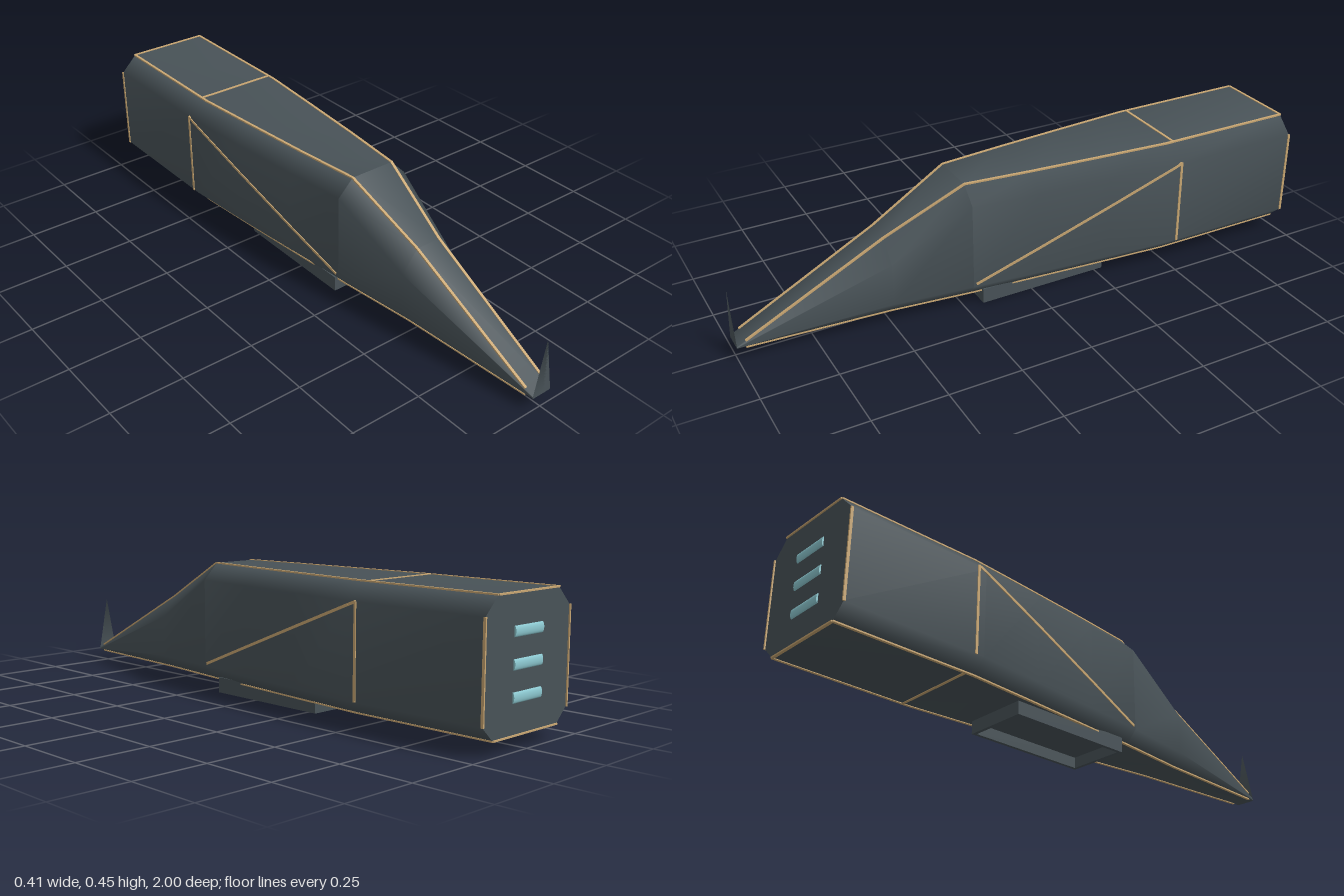
import * as THREE from 'three';

const hull = new THREE.MeshStandardMaterial({ color: 0x485257, side: THREE.DoubleSide });
hull.name = 'dark slate hull';
const gold = new THREE.MeshStandardMaterial({ color: 0xc8a672 });
gold.name = 'gold trim';
const teal = new THREE.MeshStandardMaterial({ color: 0x8cc8d0 });
teal.name = 'pale teal glow';

const MID = 0.245;
const REAR = -0.994;
// Stations: z, top half-width, top y, side half-width, shoulder y, lower y, bottom half-width
const stations = [
  [REAR, 0.145, 0.446, 0.203, 0.39, 0.09, 0.155],
  [-0.5, 0.145, 0.446, 0.203, 0.39, 0.09, 0.155],
  [-0.26, 0.126, 0.446, 0.184, 0.39, 0.09, 0.137],
  [0, 0.104, 0.446, 0.16, 0.39, 0.09, 0.115],
  [0.23, 0.08, 0.446, 0.136, 0.39, 0.09, 0.095],
  [0.5, 0.045, 0.307, 0.102, 0.235, 0.088, 0.065],
  [1, 0.036, 0.053, 0.036, 0.05, 0.047, 0.034],
];
const BOTTOM = 0.045;

// Eight-sided cross-section, counter-clockwise seen from the front
function ring([z, t, top, w, shoulder, low, b]) {
  return [[t, top], [-t, top], [-w, shoulder], [-w, low], [-b, BOTTOM], [b, BOTTOM], [w, low], [w, shoulder]]
    .map(([x, y]) => [x, y, z]);
}

function buildGeometry(points, index) {
  const g = new THREE.BufferGeometry();
  g.setAttribute('position', new THREE.Float32BufferAttribute(points.flat(), 3));
  g.setIndex(index);
  g.computeVertexNormals();
  return g;
}

function loft(list) {
  const index = [];
  for (let i = 0; i < list.length - 1; i++) {
    for (let j = 0; j < 8; j++) {
      const a = i * 8 + j, b = i * 8 + (j + 1) % 8;
      index.push(a, b, a + 8, b, b + 8, a + 8);
    }
  }
  return buildGeometry(list.flatMap(ring), index);
}

// Fan from the section to a point at mid height; at the nose this forms the upright fin
function cap(station, backward) {
  const index = [];
  for (let j = 0; j < 8; j++) {
    const k = (j + 1) % 8;
    index.push(8, backward ? k : j, backward ? j : k);
  }
  return buildGeometry([...ring(station), [0, MID, station[0]]], index);
}

// Interpolates one station column along z
function at(z, column) {
  let i = 0;
  while (i < stations.length - 2 && z > stations[i + 1][0]) i++;
  const a = stations[i], b = stations[i + 1];
  return THREE.MathUtils.lerp(a[column], b[column], (z - a[0]) / (b[0] - a[0]));
}

export function createModel() {
  const model = new THREE.Group();
  const add = (geometry, material, name, parent = model) => {
    const mesh = new THREE.Mesh(geometry, material);
    mesh.name = name;
    parent.add(mesh);
    return mesh;
  };

  // Hull
  add(loft(stations.slice(0, 5)), hull, 'mainHull');
  add(loft(stations.slice(4)), hull, 'slopedNose');
  add(cap(stations[0], true), hull, 'rearCap');
  add(cap(stations[6], false), hull, 'noseFin');

  // Trim lines: thin flat strips laid along a polyline
  const trim = new THREE.Group();
  trim.name = 'trimLines';
  model.add(trim);
  const line = (points, normal, name) => {
    for (let i = 0; i < points.length - 1; i++) {
      const a = new THREE.Vector3(...points[i]), b = new THREE.Vector3(...points[i + 1]);
      const dir = b.clone().sub(a), length = dir.length();
      dir.normalize();
      const across = new THREE.Vector3(...normal).cross(dir).normalize();
      const up = dir.clone().cross(across);
      const strip = add(new THREE.BoxGeometry(0.009, 0.005, length + 0.002), gold, name, trim);
      strip.applyMatrix4(new THREE.Matrix4().makeBasis(across, up, dir));
      strip.position.copy(a.add(b).multiplyScalar(0.5));
    }
  };

  const edgeZ = [REAR, -0.5, -0.26, 0, 0.23, 0.5, 0.97];
  for (const s of [1, -1]) {
    line(edgeZ.map(z => [s * at(z, 1), at(z, 2), z]), [0, 1, 0], 'topEdgeLine');
    line(edgeZ.map(z => [s * at(z, 6), BOTTOM, z]), [0, -1, 0], 'bottomEdgeLine');
    const diagonal = [-0.53, -0.5, -0.26, 0, 0.22]
      .map(z => [s * at(z, 3), 0.39 - 0.29 * (z + 0.53) / 0.75, z]);
    line(diagonal, [s, 0, 0], 'sideDiagonalLine');
    for (const z of [-0.53, REAR]) {
      line([[s * 0.203, 0.09, z], [s * 0.203, 0.39, z]], [s, 0, 0], 'sideUprightLine');
    }
  }
  for (const z of [-0.53, REAR]) {
    line([[-0.145, 0.446, z], [0.145, 0.446, z]], [0, 1, 0], 'topCrossLine');
    line([[-0.155, BOTTOM, z], [0.155, BOTTOM, z]], [0, -1, 0], 'bottomCrossLine');
  }

  // Open-bottomed rectangular frame under the belly
  const belly = new THREE.Group();
  belly.name = 'bellyFrame';
  belly.position.z = -0.048;
  model.add(belly);
  for (const s of [1, -1]) {
    add(new THREE.BoxGeometry(0.012, 0.053, 0.466), hull, 'frameSide', belly)
      .position.set(s * 0.107, 0.0265, 0);
    add(new THREE.BoxGeometry(0.202, 0.053, 0.012), hull, 'frameEnd', belly)
      .position.set(0, 0.0265, s * 0.227);
  }
  add(new THREE.BoxGeometry(0.202, 0.008, 0.442), hull, 'frameRoof', belly).position.y = 0.042;

  // Glowing rear bars
  for (const dy of [-0.093, 0, 0.093]) {
    const bar = add(new THREE.CylinderGeometry(0.016, 0.016, 0.135, 16), teal, 'rearBar');
    bar.rotation.z = Math.PI / 2;
    bar.scale.z = 0.375;
    bar.position.set(0, MID + dy, REAR);
  }
  return model;
}
